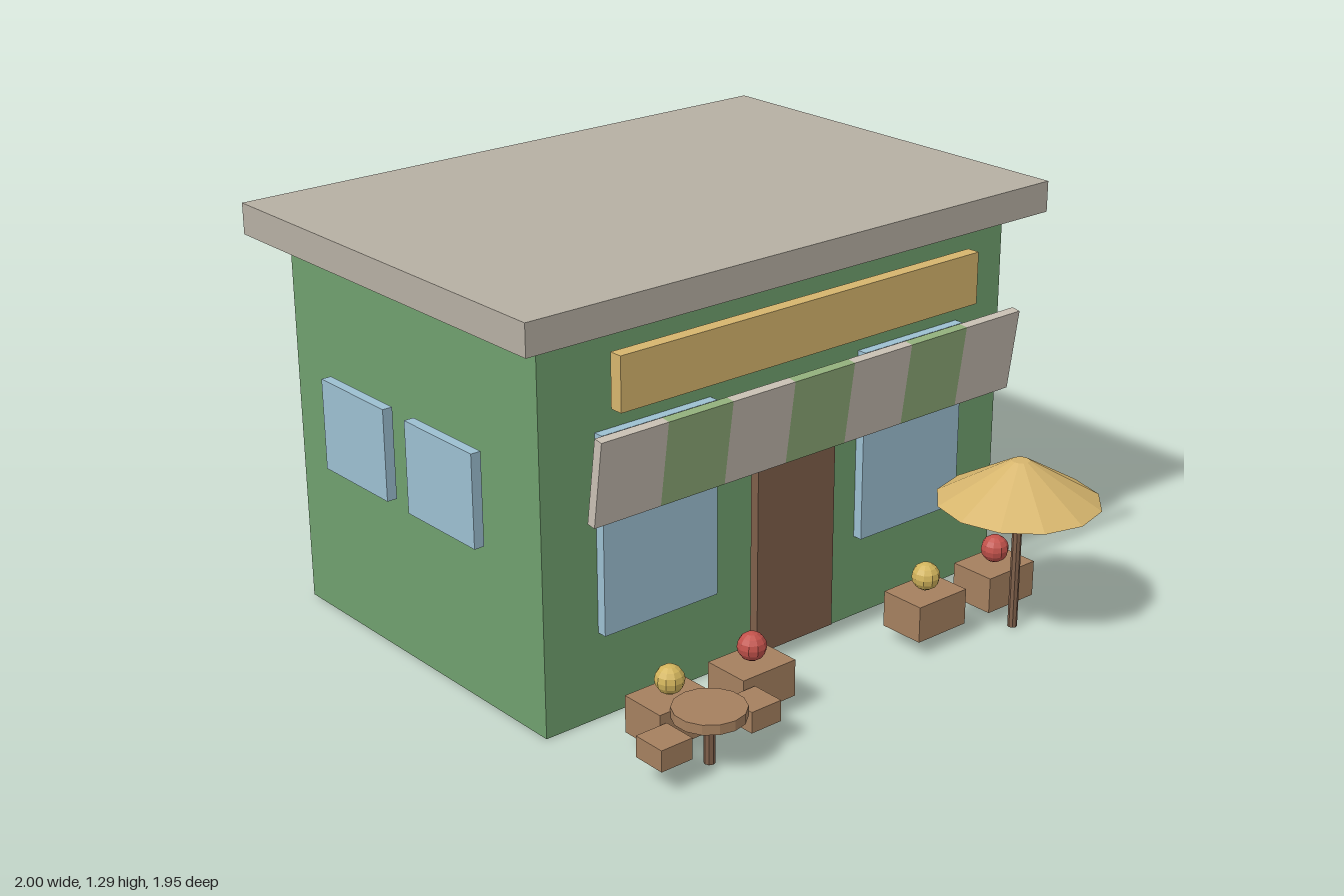
import * as THREE from 'three';

const mat = (color) => new THREE.MeshStandardMaterial({ color, flatShading: true });

export function createModel() {
  const shop = new THREE.Group();
  shop.name = 'shop';

  const wallGreen = mat(0x70a06e), roofGrey = mat(0xb6afa3), signYellow = mat(0xd6b56d);
  const glass = mat(0x9cbfd1), doorBrown = mat(0x7e5f4a), wood = mat(0xa5805f);
  const cream = mat(0xc9c0b4), stripeGreen = mat(0x93b07c);
  const fruitYellow = mat(0xd2b45c), fruitRed = mat(0xc2524b);

  const add = (name, geometry, material, x, y, z, parent = shop) => {
    const mesh = new THREE.Mesh(geometry, material);
    mesh.name = name;
    mesh.position.set(x, y, z);
    parent.add(mesh);
    return mesh;
  };
  // Box given by its limits on each axis
  const box = (name, material, [x0, x1], [y0, y1], [z0, z1]) =>
    add(name, new THREE.BoxGeometry(x1 - x0, y1 - y0, z1 - z0), material,
      (x0 + x1) / 2, (y0 + y1) / 2, (z0 + z1) / 2);

  // Building
  box('walls', wallGreen, [-0.9, 0.9], [0, 1.195], [-0.88, 0.344]);
  box('roof', roofGrey, [-1, 1], [1.195, 1.293], [-0.975, 0.437]);
  box('signBoard', signYellow, [-0.693, 0.693], [0.965, 1.13], [0.4, 0.443]);
  box('door', doorBrown, [-0.153, 0.153], [0.035, 0.68], [0.366, 0.397]);

  // Windows, mirrored left and right
  for (const side of [-1, 1]) {
    add('frontWindow', new THREE.BoxGeometry(0.417, 0.61, 0.033), glass, side * 0.5, 0.577, 0.359);
    for (const z of [-0.07, -0.508]) {
      add('sideWindow', new THREE.BoxGeometry(0.033, 0.29, 0.328), glass, side * 0.931, 0.66, z);
    }
  }

  // Striped awning, its top leaning outwards
  const awning = new THREE.Group();
  awning.name = 'awning';
  awning.position.set(0, 0.803, 0.477);
  awning.rotation.x = 0.142;
  shop.add(awning);
  const pitch = 1.63 / 7;
  for (let i = 0; i < 7; i++) {
    add('awningStripe', new THREE.BoxGeometry(pitch, 0.264, 0.03),
      i % 2 ? stripeGreen : cream, (i - 3) * pitch, 0, 0, awning);
  }

  // Crates with produce on top
  [-0.66, -0.355, 0.35, 0.655].forEach((x, i) => {
    add('crate', new THREE.BoxGeometry(0.198, 0.116, 0.152), wood, x, 0.106, 0.6);
    add('fruit', new THREE.SphereGeometry(0.044, 10, 8), i % 2 ? fruitRed : fruitYellow, x, 0.212, 0.6);
  });

  // Round table with two stools
  add('tableTop', new THREE.CylinderGeometry(0.108, 0.108, 0.031, 14), wood, -0.635, 0.16, 0.74);
  add('tableLeg', new THREE.CylinderGeometry(0.017, 0.017, 0.15, 8), doorBrown, -0.635, 0.075, 0.74);
  for (const side of [-1, 1]) {
    add('stool', new THREE.BoxGeometry(0.109, 0.066, 0.109), wood, -0.635 + side * 0.162, 0.107, 0.74);
  }

  // Parasol
  add('parasolPole', new THREE.CylinderGeometry(0.015, 0.015, 0.44, 8), doorBrown, 0.62, 0.22, 0.718);
  add('parasolCanopy', new THREE.CylinderGeometry(0.028, 0.254, 0.132, 12), signYellow, 0.62, 0.49, 0.718);

  return shop;
}
